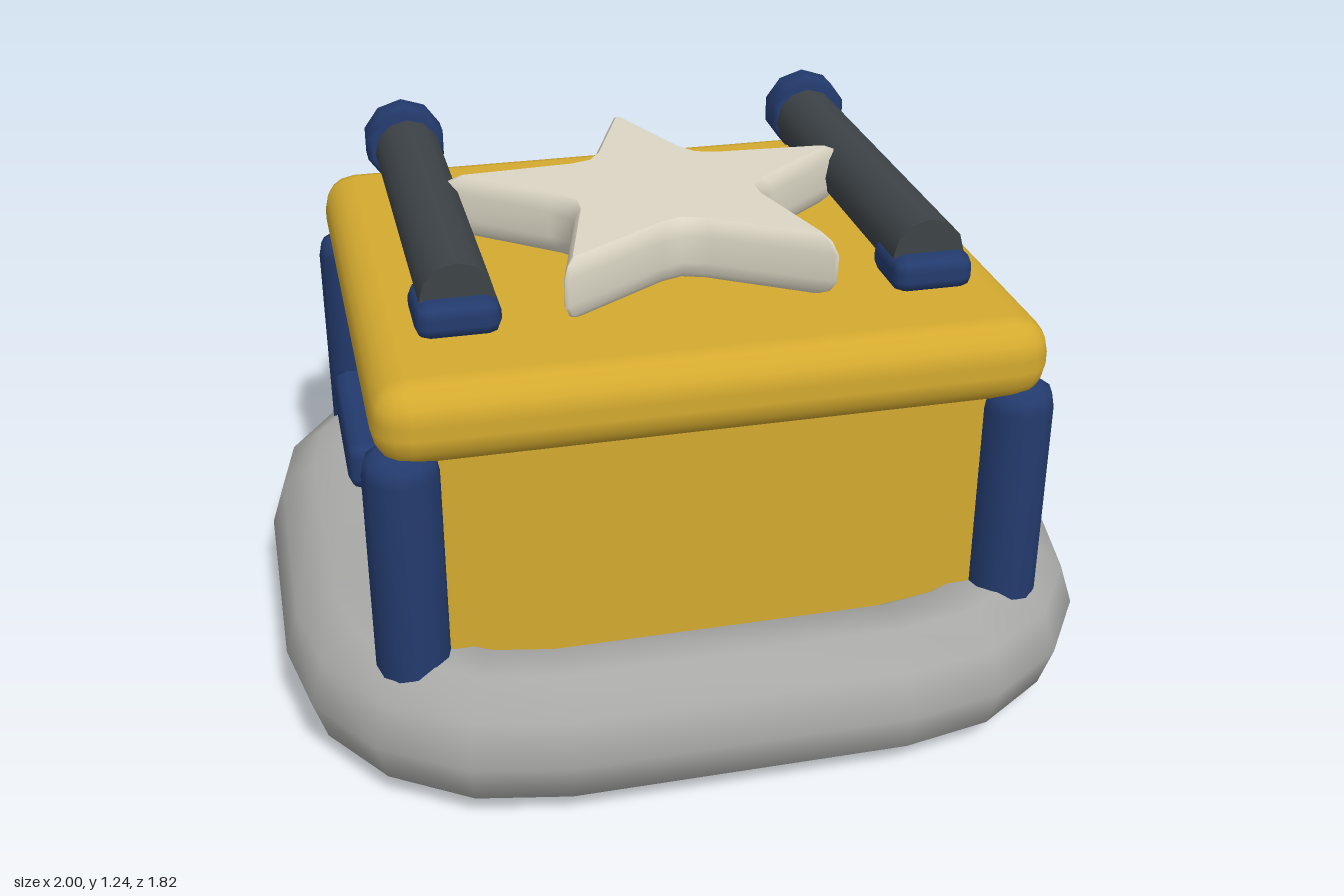
import * as THREE from 'three';
import { RoundedBoxGeometry } from 'three/addons/geometries/RoundedBoxGeometry.js';

const mat = (name, color, side = THREE.FrontSide) => {
  const m = new THREE.MeshStandardMaterial({ color, side });
  m.name = name;
  return m;
};

// Skin a list of closed cross-sections; optional flat caps on the first and last
function loft(rings, caps) {
  const n = rings[0].length, pos = [], idx = [];
  rings.forEach(r => r.forEach(p => pos.push(...p)));
  for (let j = 0; j < rings.length - 1; j++) {
    for (let i = 0; i < n; i++) {
      const a = j * n + i, b = j * n + (i + 1) % n;
      idx.push(a, a + n, b, b, a + n, b + n);
    }
  }
  if (caps) {
    [rings[0], rings[rings.length - 1]].forEach((r, top) => {
      const c = pos.length / 3;
      pos.push(...caps[top]);
      r.forEach(p => pos.push(...p));
      for (let i = 0; i < n; i++) {
        const p = c + 1 + i, q = c + 1 + (i + 1) % n;
        idx.push(c, top ? q : p, top ? p : q);
      }
    });
  }
  const g = new THREE.BufferGeometry();
  g.setAttribute('position', new THREE.Float32BufferAttribute(pos, 3));
  g.setIndex(idx);
  g.computeVertexNormals();
  return g;
}

// Ten-sided tube around a rounded rectangle, its two ends meeting at a split seam
function floatRing() {
  const R = 0.424, r = 0.176, cx = 0.4, cz = 0.312, y = 0.168;
  const section = (x, z, dir) => Array.from({ length: 10 }, (_, i) => {
    const a = i * Math.PI / 5, d = Math.cos(a) * r;
    return [x + Math.cos(dir) * d, y + Math.sin(a) * r, z - Math.sin(dir) * d];
  });
  const rings = [];
  for (let k = 0; k < 4; k++) {
    const sx = k === 0 || k === 3 ? 1 : -1, sz = k < 2 ? -1 : 1;
    for (let s = 0; s <= 4; s++) {
      const t = k * Math.PI / 2 + s * Math.PI / 8;
      const dir = k + s === 0 ? Math.PI / 16 : t;
      rings.push(section(sx * cx + Math.cos(t) * R, sz * cz - Math.sin(t) * R, dir));
    }
  }
  rings.push(section(cx + R, -cz - 0.008, 0));
  return loft(rings);
}

// Five-pointed star with softened tips, rounded valleys and bevelled rims
function star() {
  const polar = (deg, r) => new THREE.Vector2(r, 0).rotateAround(new THREE.Vector2(), deg * Math.PI / 180);
  const outline = [];
  for (let k = 0; k < 5; k++) {
    const a = -90 + 72 * k;
    const tip = polar(a, 0.545), v0 = polar(a - 36, 0.235), v1 = polar(a + 36, 0.235);
    outline.push(v0.clone().lerp(tip, 0.18), tip.clone().lerp(v0, 0.04), polar(a, 0.538),
      tip.clone().lerp(v1, 0.04), v1.clone().lerp(tip, 0.18), polar(a + 36, 0.252));
  }
  const zc = 0.03;
  const layers = [[1.045, 0.9], [1.06, 0.96], [1.09, 1], [1.155, 1], [1.183, 0.965], [1.197, 0.91]];
  return loft(layers.map(([y, s]) => outline.map(p => [p.x * s, y, zc + p.y * s])),
    [[0, 1.045, zc], [0, 1.197, zc]]);
}

export function createModel() {
  const yellow = mat('yellow', 0xd4aa2f);
  const blue = mat('navy blue', 0x233b6e);
  const charcoal = mat('charcoal', 0x3d4347);
  const cream = mat('cream', 0xdbd6c4);
  const grey = mat('grey', 0xa9aaa8, THREE.DoubleSide);

  const model = new THREE.Group();
  model.name = 'floatingCrate';
  const add = (name, geo, material, x = 0, y = 0, z = 0) => {
    const m = new THREE.Mesh(geo, material);
    m.name = name;
    m.position.set(x, y, z);
    model.add(m);
    return m;
  };
  const box = (w, h, d, r, seg = 1) => new RoundedBoxGeometry(w, h, d, seg, r);

  add('floatRing', floatRing(), grey);

  // Body: extruded rounded rectangle with an open-looking flat floor
  const w = 0.72, d = 0.63, c = 0.11, s = new THREE.Shape();
  s.absarc(w - c, d - c, c, 0, Math.PI / 2);
  s.absarc(c - w, d - c, c, Math.PI / 2, Math.PI);
  s.absarc(c - w, c - d, c, Math.PI, Math.PI * 1.5);
  s.absarc(w - c, c - d, c, Math.PI * 1.5, Math.PI * 2);
  const body = new THREE.ExtrudeGeometry(s, { depth: 0.72, bevelEnabled: false, curveSegments: 6 });
  body.rotateX(-Math.PI / 2);
  add('body', body, yellow, 0, 0.17, 0);

  add('lid', box(1.55, 0.2, 1.38, 0.085, 2), yellow, 0, 0.932, 0);
  add('star', star(), cream);

  // Corner posts with rounded ends
  const post = new THREE.LatheGeometry(
    [[0, 0.25], [0.05, 0.255], [0.078, 0.275], [0.087, 0.31], [0.087, 0.81], [0.08, 0.845], [0.055, 0.862], [0, 0.866]]
      .map(p => new THREE.Vector2(...p)), 12);
  for (const x of [-1, 1]) {
    for (const z of [-1, 1]) add('cornerPost', post, blue, x * 0.715, 0, z * 0.615);
  }

  // Paired parts: side handles, back hinges, lid tubes with end caps and feet
  const tube = new THREE.CylinderGeometry(0.086, 0.086, 1.0, 12).rotateX(Math.PI / 2);
  const cap = new THREE.LatheGeometry(
    [[0, -0.047], [0.092, -0.047], [0.105, -0.034], [0.105, 0.034], [0.092, 0.047], [0, 0.047]]
      .map(p => new THREE.Vector2(...p)), 10).rotateX(Math.PI / 2);
  for (const x of [-1, 1]) {
    add('sideHandle', box(0.14, 0.125, 0.45, 0.035), blue, x * 0.74, 0.598, 0);
    add('backHinge', box(0.13, 0.19, 0.1, 0.025), yellow, x * 0.4, 0.795, -0.657);
    add('lidTube', tube, charcoal, x * 0.55, 1.118, -0.077);
    add('tubeCap', cap, blue, x * 0.555, 1.131, -0.58);
    add('tubeFoot', box(0.195, 0.085, 0.185, 0.032), blue, x * 0.553, 1.08, 0.38);
  }
  return model;
}
